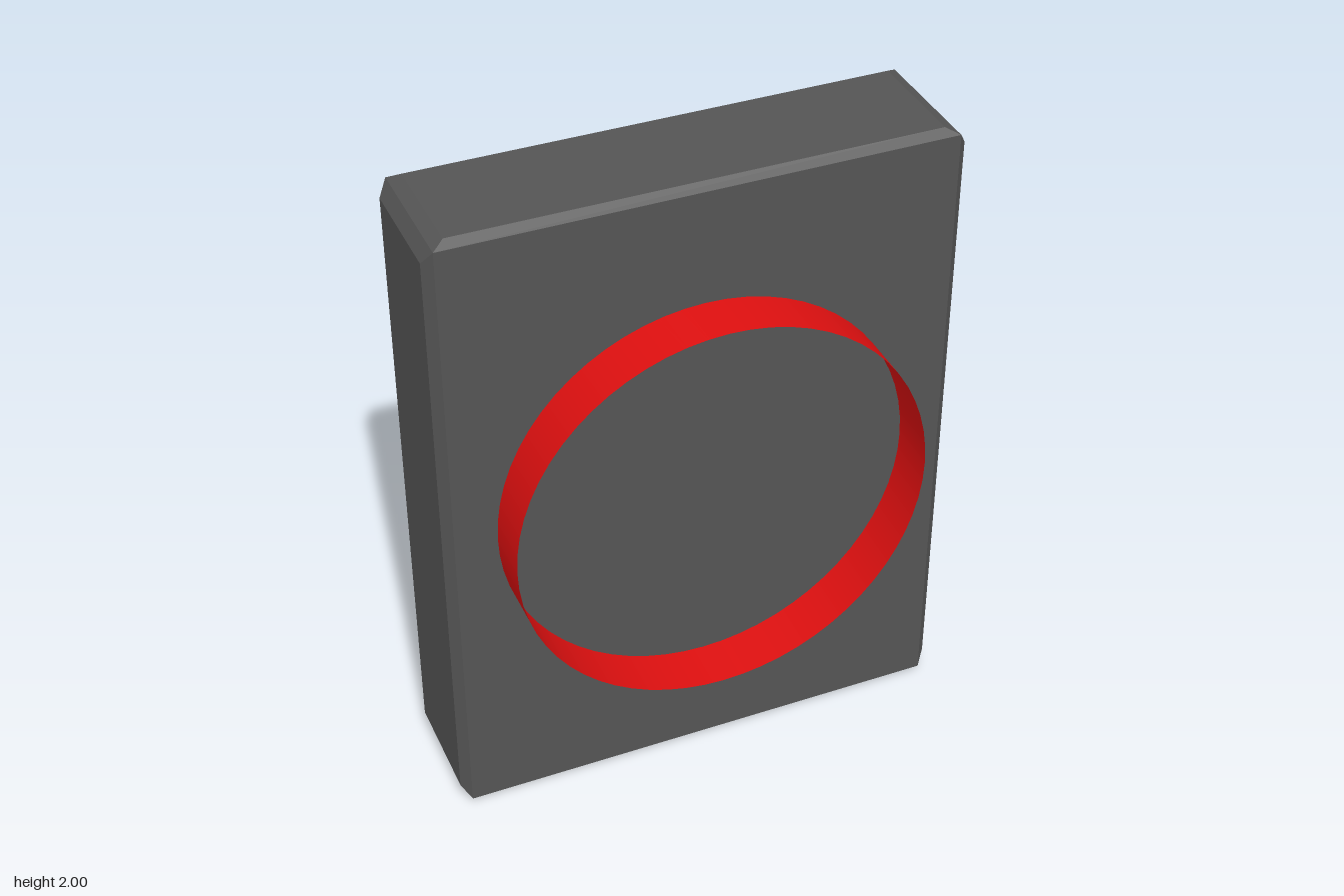
import * as THREE from 'three';
import { ConvexGeometry } from 'three/addons/geometries/ConvexGeometry.js';
import { toCreasedNormals } from 'three/addons/utils/BufferGeometryUtils.js';

// Box with one flat chamfer per edge: each face is a smaller rectangle, hulled together
function chamferedBox(half, faceHalf) {
  const points = [];
  for (const sx of [-1, 1]) for (const sy of [-1, 1]) for (const sz of [-1, 1]) {
    for (const [x, y, z] of [
      [half.x, faceHalf.side.y, faceHalf.side.z],
      [faceHalf.top.x, half.y, faceHalf.top.z],
      [faceHalf.front.x, faceHalf.front.y, half.z],
    ]) points.push(new THREE.Vector3(sx * x, sy * y, sz * z));
  }
  return new ConvexGeometry(points);
}

export function createModel() {
  const model = new THREE.Group();
  model.name = 'panelWithButton';

  // Dark rectangular plate
  const plate = new THREE.Mesh(
    chamferedBox(
      { x: 0.785, y: 1, z: 0.2 },
      { side: { y: 0.94, z: 0.172 }, top: { x: 0.72, z: 0.172 }, front: { x: 0.757, y: 0.982 } }
    ),
    new THREE.MeshStandardMaterial({ color: 0x555555, flatShading: true })
  );
  plate.name = 'plate';
  plate.position.y = 1;
  model.add(plate);

  // Round red button: open thin rim at the front, chamfered closed cap at the back
  const profile = [[0.63, -0.36], [0.63, 0.3], [0.575, 0.36], [0, 0.36]]
    .map(([r, h]) => new THREE.Vector2(r, h));
  const button = new THREE.Mesh(
    toCreasedNormals(new THREE.LatheGeometry(profile, 64).rotateX(-Math.PI / 2), Math.PI / 6),
    new THREE.MeshStandardMaterial({ color: 0xe01010, side: THREE.DoubleSide })
  );
  button.name = 'button';
  button.position.y = 1;
  model.add(button);

  return model;
}
